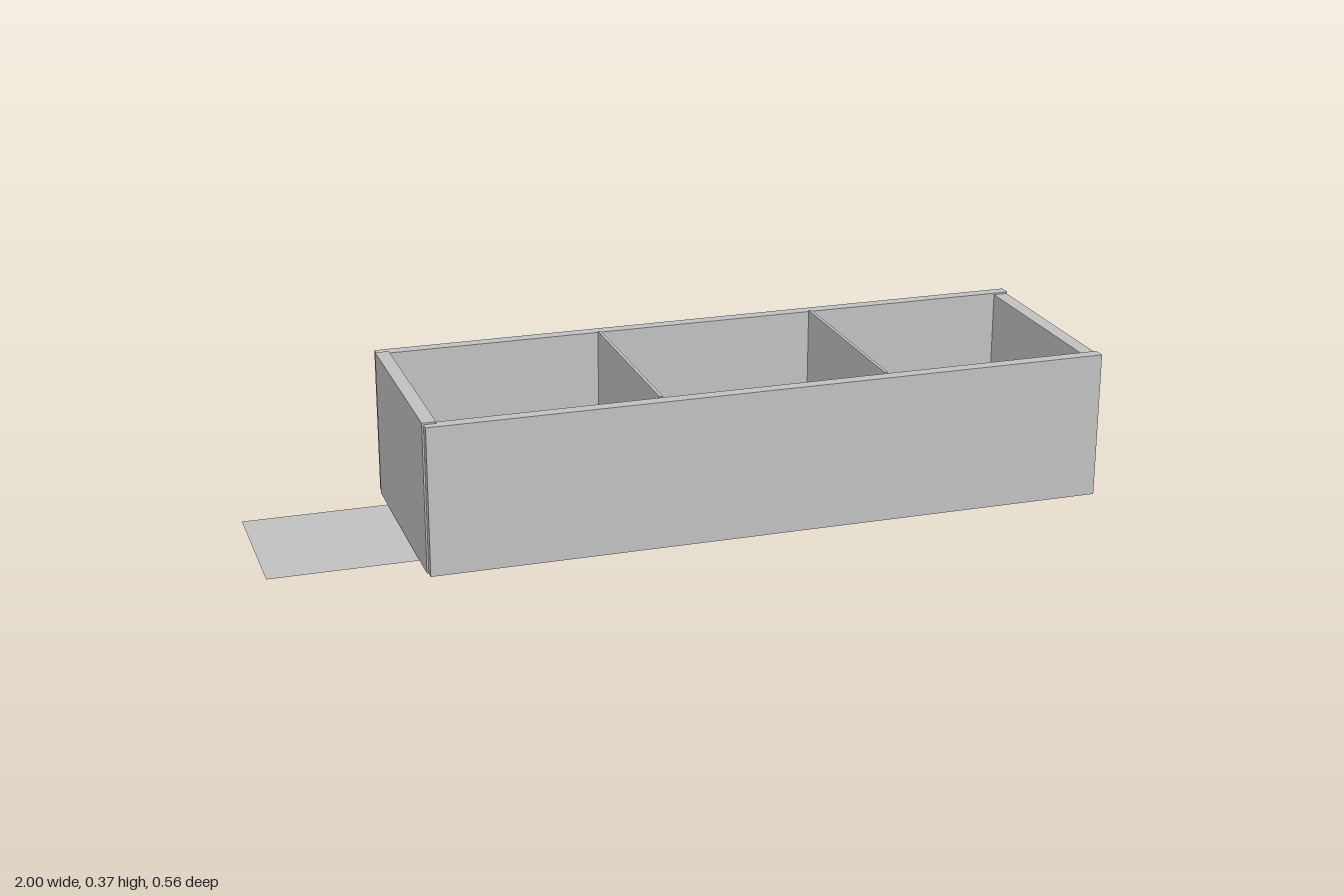
import * as THREE from 'three';

export function createModel() {
  const group = new THREE.Group();
  const grey = new THREE.MeshStandardMaterial({ color: 0xc0c0c0 });
  grey.name = 'light grey';
  const sheetGrey = grey.clone();
  sheetGrey.side = THREE.DoubleSide;

  // Panel given by its minimum and maximum corners
  function panel(name, min, max) {
    const size = max.map((v, i) => v - min[i]);
    const mesh = new THREE.Mesh(new THREE.BoxGeometry(...size), grey);
    mesh.position.set(...max.map((v, i) => (v + min[i]) / 2));
    mesh.name = name;
    group.add(mesh);
  }

  // Long side walls
  panel('frontWall', [-0.646, 0.007, 0.25], [1, 0.364, 0.281]);
  panel('backWall', [-0.646, 0.007, -0.281], [1, 0.364, -0.25]);

  // End walls, set slightly higher and lower than the long walls
  panel('rightEndWall', [-0.65, 0.007, -0.252], [-0.617, 0.368, 0.26]);
  panel('leftEndWall', [0.963, 0, -0.252], [0.998, 0.36, 0.26]);

  // Floor of the tray
  panel('floor', [-0.646, 0.003, -0.252], [0.99, 0.009, 0.252]);

  // Thin dividers making three compartments
  for (const x of [-0.093, 0.458]) {
    panel('divider', [x - 0.004, 0.004, -0.25], [x + 0.004, 0.367, 0.25]);
  }

  // Flat tongue sticking out below the right end
  const tongue = new THREE.Mesh(new THREE.PlaneGeometry(0.37, 0.356).rotateX(-Math.PI / 2), sheetGrey);
  tongue.position.set(-0.815, 0.005, 0);
  tongue.name = 'tongue';
  group.add(tongue);

  return group;
}
